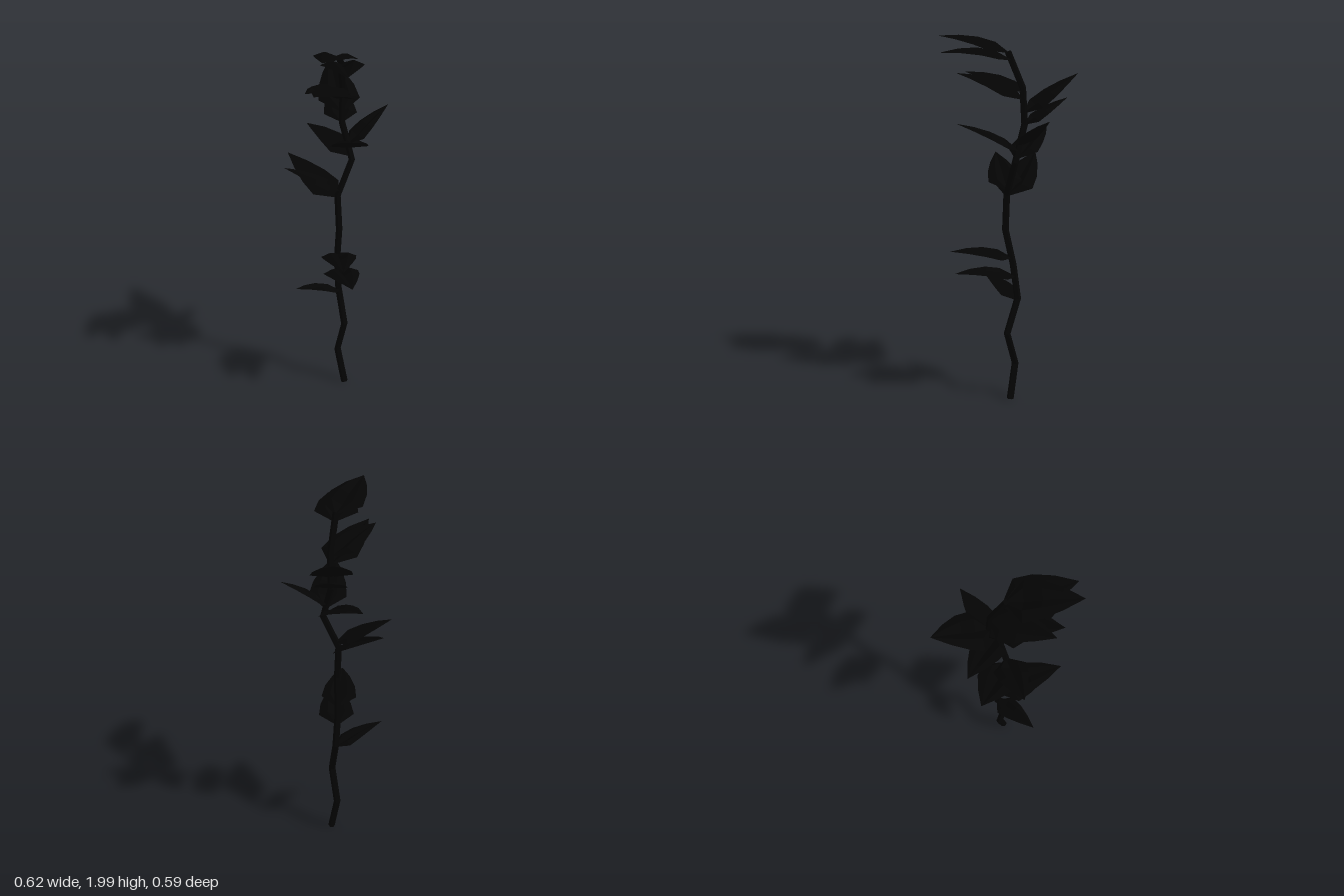
import * as THREE from 'three';

const V = (x, y, z) => new THREE.Vector3(x, y, z);

// Zigzag stem joints, evenly spaced in height
const JOINTS = [
  [0.03, 0.005, 0.045], [0.027, 0.2, -0.005], [0.017, 0.39, 0.055], [0.04, 0.58, -0.01],
  [0.017, 0.77, 0], [-0.007, 0.97, 0.037], [-0.007, 1.16, 0.025], [0.07, 1.35, 0.055],
  [0.075, 1.54, -0.02], [0.07, 1.73, -0.01], [0.005, 1.915, 0.03],
].map((p) => V(...p));

// Leaves: height of the base on the stem, tip position, half width / length, arch
const LEAVES = [
  [0.57, [-0.235, 0.66, -0.068], 0.21, 0.06],
  [0.705, [-0.165, 0.755, 0.277], 0.28, 0.07],
  [0.81, [-0.21, 0.865, 0.255], 0.28, 0.06],
  [1.155, [-0.05, 1.33, -0.297], 0.31, 0.02],
  [1.19, [-0.217, 1.33, -0.158], 0.28, 0.03],
  [1.37, [0.053, 1.48, -0.255], 0.28, 0.08],
  [1.41, [-0.155, 1.56, 0.257], 0.28, 0.04],
  [1.43, [0.31, 1.6, 0.092], 0.24, 0.04],
  [1.54, [0.22, 1.67, -0.2], 0.33, 0.03],
  [1.6, [0.243, 1.79, -0.262], 0.31, 0.03],
  [1.67, [-0.27, 1.79, 0.11], 0.28, 0.06],
  [1.71, [-0.265, 1.79, 0.045], 0.28, 0.06],
  [1.875, [-0.228, 1.92, 0.295], 0.3, 0.07],
  [1.91, [-0.31, 1.99, 0.205], 0.3, 0.06],
];

// Point on the stem centre line at a given height
function stemAt(y) {
  let i = 0;
  while (i < JOINTS.length - 2 && JOINTS[i + 1].y < y) i++;
  const a = JOINTS[i], b = JOINTS[i + 1];
  return a.clone().lerp(b, (y - a.y) / (b.y - a.y));
}

// Cylinder whose rings are shifted onto the joints
function stemGeometry() {
  const n = JOINTS.length - 1;
  const geo = new THREE.CylinderGeometry(0.017, 0.019, n, 6, n);
  const pos = geo.attributes.position;
  for (let i = 0; i < pos.count; i++) {
    const k = Math.round(pos.getY(i) + n / 2);
    const dir = JOINTS[Math.min(k + 1, n)].clone().sub(JOINTS[Math.max(k - 1, 0)]).normalize();
    const tilt = new THREE.Quaternion().setFromUnitVectors(V(0, 1, 0), dir);
    const p = V(pos.getX(i), 0, pos.getZ(i)).applyQuaternion(tilt).add(JOINTS[k]);
    pos.setXYZ(i, p.x, Math.max(p.y, 0), p.z);
  }
  geo.computeVertexNormals();
  return geo;
}

// Leaf outline rows (position, width) and pleated cross-section (side, height)
const ROWS = [[0, 0.1], [0.22, 1], [0.47, 0.87], [0.73, 0.52], [1, 0]];
const PLEATS = [[-1, -0.08], [-0.5, 0.13], [0, -0.16], [0.5, 0.13], [1, -0.08]];

// Pointed, pleated leaf arching from base to tip
function leafGeometry(base, tip, ratio, arch) {
  const axis = tip.clone().sub(base);
  const length = axis.length();
  const side = V(0, 1, 0).cross(axis).normalize();
  const up = axis.clone().cross(side).normalize();
  const n = PLEATS.length;
  const points = [], index = [];
  ROWS.forEach(([t, w], r) => {
    const half = w * ratio * length;
    const mid = base.clone().addScaledVector(axis, t)
      .addScaledVector(up, arch * length * Math.sin(Math.PI * t));
    for (const [s, h] of PLEATS) {
      const p = mid.clone().addScaledVector(side, s * half).addScaledVector(up, h * half);
      points.push(p.x, p.y, p.z);
    }
    if (r === 0) return;
    for (let c = 0; c < n - 1; c++) {
      const a = (r - 1) * n + c, b = a + n;
      index.push(a, a + 1, b);
      if (r < ROWS.length - 1) index.push(a + 1, b + 1, b);
    }
  });
  const geo = new THREE.BufferGeometry();
  geo.setAttribute('position', new THREE.Float32BufferAttribute(points, 3));
  geo.setIndex(index);
  geo.computeVertexNormals();
  return geo;
}

export function createModel() {
  const plant = new THREE.Group();
  plant.name = 'plant';
  const dark = new THREE.MeshStandardMaterial({
    color: 0x040404, flatShading: true, side: THREE.DoubleSide,
  });

  const stem = new THREE.Mesh(stemGeometry(), dark);
  stem.name = 'stem';
  plant.add(stem);

  const leaves = new THREE.Group();
  leaves.name = 'leaves';
  LEAVES.forEach(([y, tip, ratio, arch], i) => {
    const leaf = new THREE.Mesh(leafGeometry(stemAt(y), V(...tip), ratio, arch), dark);
    leaf.name = `leaf${i + 1}`;
    leaves.add(leaf);
  });
  plant.add(leaves);
  return plant;
}
